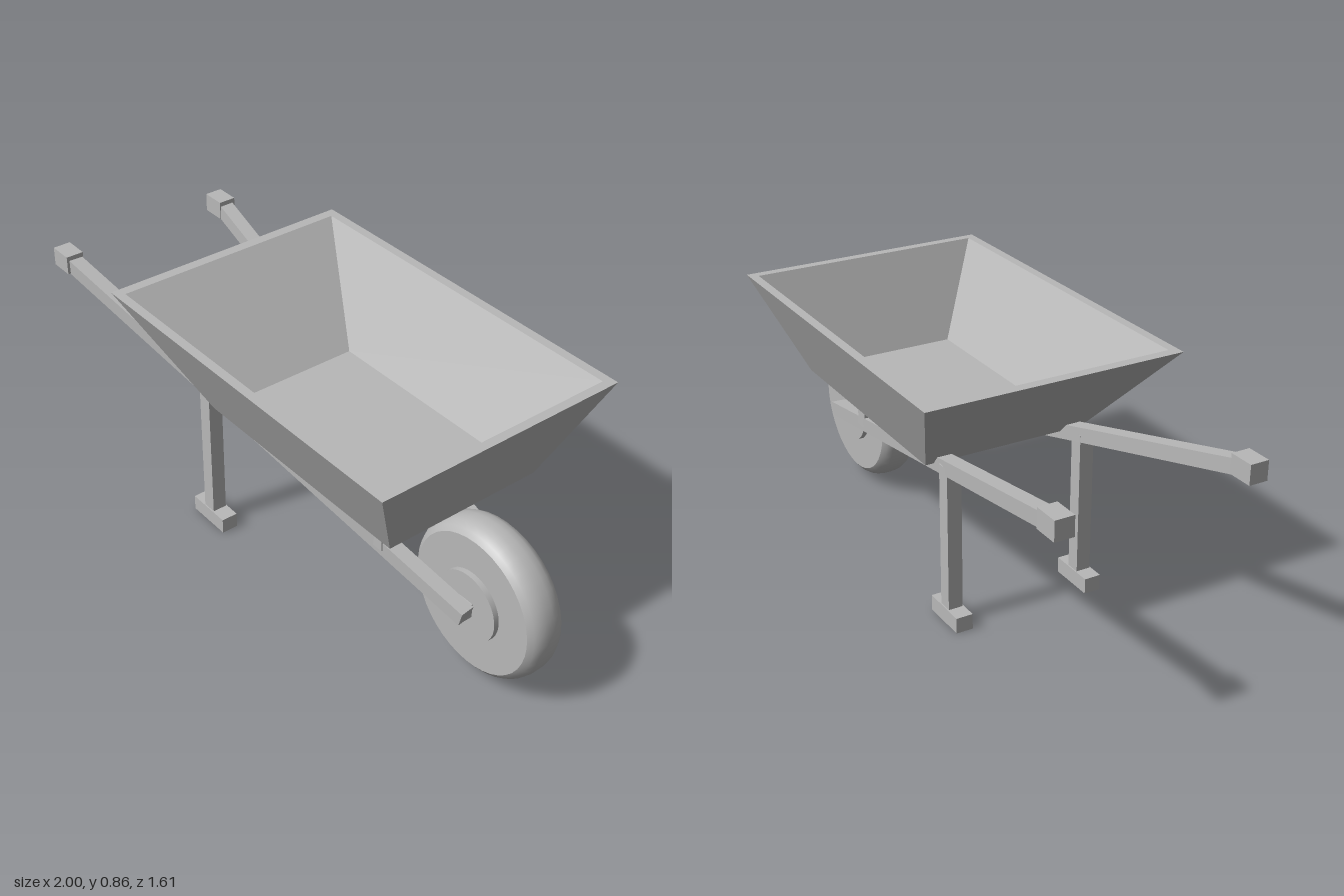
import * as THREE from 'three';
import { toCreasedNormals } from 'three/addons/utils/BufferGeometryUtils.js';

const grey = new THREE.MeshStandardMaterial({ color: 0xb8b8b8 });
grey.name = 'plain grey';

function add(parent, name, geometry, x = 0, y = 0, z = 0) {
  const mesh = new THREE.Mesh(geometry, grey);
  mesh.name = name;
  mesh.position.set(x, y, z);
  parent.add(mesh);
  return mesh;
}

const box = (x, y, z) => new THREE.BoxGeometry(x, y, z);

// Square beam running between two points
function beam(parent, name, from, to, size) {
  const dir = to.clone().sub(from);
  const mesh = add(parent, name, box(dir.length(), size, size));
  mesh.position.copy(from).add(to).multiplyScalar(0.5);
  mesh.quaternion.setFromUnitVectors(new THREE.Vector3(1, 0, 0), dir.normalize());
}

// Hollow tapered tray made from four rectangular loops
function trayGeometry() {
  const loops = [
    [-0.125, 0.735, 0.283, 0.525], // outer bottom
    [-0.437, 0.874, 0.443, 0.863], // outer rim
    [-0.402, 0.843, 0.412, 0.863], // inner rim
    [-0.085, 0.695, 0.239, 0.55],  // inner floor
  ].map(([x0, x1, h, y]) => [[x0, y, -h], [x0, y, h], [x1, y, h], [x1, y, -h]]);
  const points = [];
  const quad = (a, b, c, d) => points.push(...a, ...b, ...c, ...a, ...c, ...d);
  for (let l = 0; l < 3; l++) {
    for (let i = 0; i < 4; i++) {
      const j = (i + 1) % 4;
      quad(loops[l][i], loops[l][j], loops[l + 1][j], loops[l + 1][i]);
    }
  }
  quad(...loops[3]);
  quad(...[...loops[0]].reverse());
  const geometry = new THREE.BufferGeometry();
  geometry.setAttribute('position', new THREE.Float32BufferAttribute(points, 3));
  geometry.computeVertexNormals();
  return geometry;
}

// Tyre with flat sides and a rounded tread
function tyreGeometry() {
  const half = [[0.05, 0.067], [0.232, 0.067], [0.248, 0.054], [0.259, 0.035], [0.263, 0.012]];
  const profile = [
    ...half.map(([r, y]) => new THREE.Vector2(r, -y)),
    ...[...half].reverse().map(([r, y]) => new THREE.Vector2(r, y)),
  ];
  return toCreasedNormals(new THREE.LatheGeometry(profile, 40), 0.6);
}

export function createModel() {
  const model = new THREE.Group();
  model.name = 'wheelbarrow';

  // The barrow is turned 30 degrees: local +x runs towards the wheel
  const barrow = new THREE.Group();
  barrow.name = 'barrow';
  barrow.rotation.y = -Math.PI / 6;
  barrow.position.set(0.013, 0, -0.022);
  model.add(barrow);

  add(barrow, 'tray', trayGeometry());

  // Wheel, hub and axle
  const wheel = new THREE.Group();
  wheel.name = 'wheel';
  wheel.position.set(0.859, 0.283, 0);
  wheel.rotation.x = Math.PI / 2;
  barrow.add(wheel);
  add(wheel, 'tyre', tyreGeometry());
  add(wheel, 'hub', new THREE.CylinderGeometry(0.118, 0.118, 0.17, 32));
  add(wheel, 'axle', box(0.05, 0.24, 0.05));

  // Mirrored frame: handle bars, grips, legs, feet and tray struts
  for (const side of [-1, 1]) {
    const name = side > 0 ? 'left' : 'right';
    beam(barrow, name + 'HandleBar',
      new THREE.Vector3(-0.91, 0.715, 0.318 * side),
      new THREE.Vector3(0.89, 0.283, 0.115 * side), 0.05);
    add(barrow, name + 'Grip', box(0.086, 0.065, 0.063), -0.926, 0.718, 0.318 * side);
    add(barrow, name + 'Leg', box(0.05, 0.5, 0.05), -0.205, 0.3, 0.24 * side);
    add(barrow, name + 'Foot', box(0.165, 0.054, 0.058), -0.205, 0.027, 0.24 * side);
    add(barrow, name + 'Strut', box(0.05, 0.175, 0.05), 0.558, 0.4425, 0.154 * side);
  }
  return model;
}
